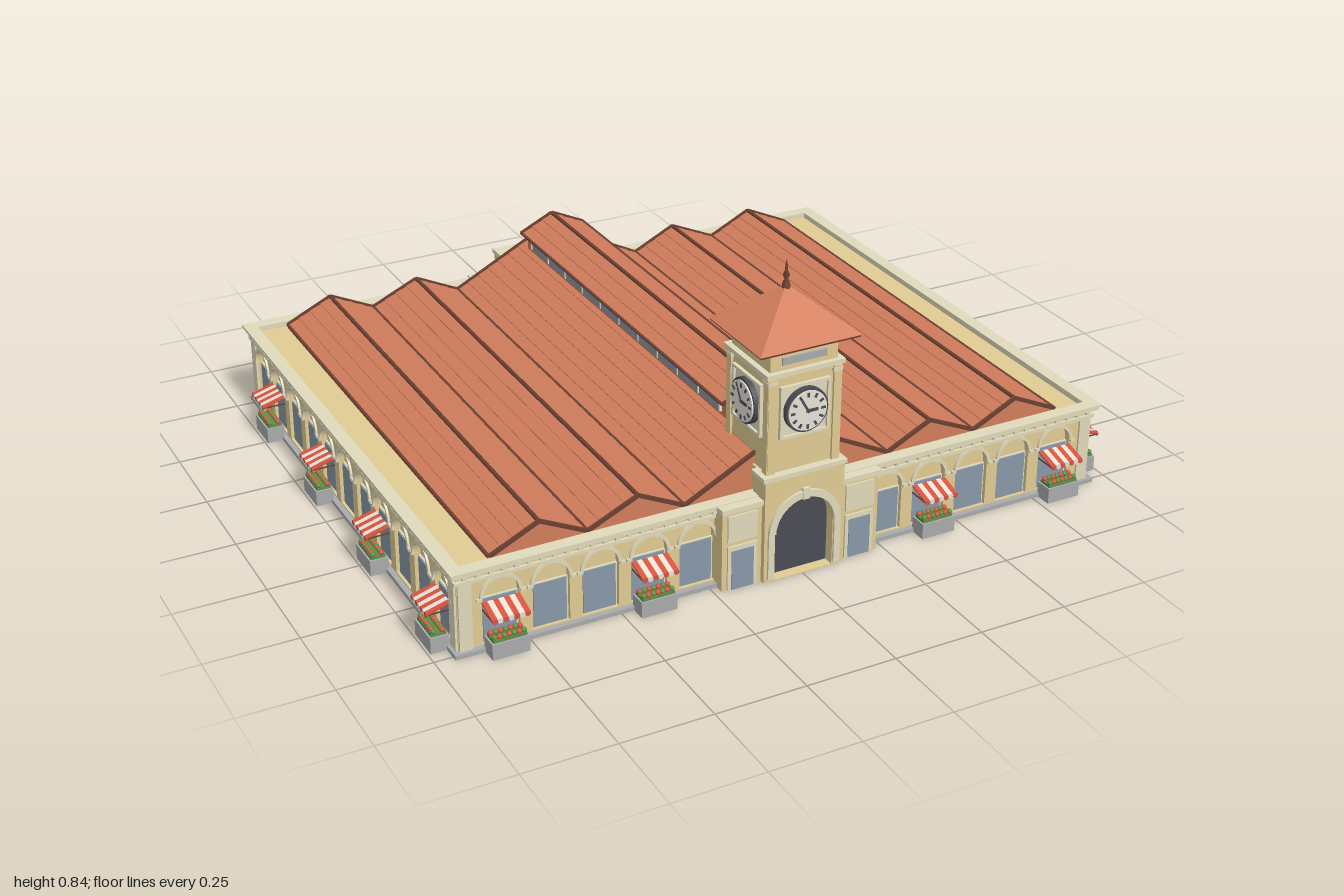
import * as THREE from 'three';

const M = {};
for (const [name, hex] of Object.entries({
  sandStone: 0xe0cb93, paleTrim: 0xe0d9bc, terracotta: 0xd27d5c, darkBrown: 0x6b4032, glass: 0x8798a7,
  slate: 0x4b4b56, awningRed: 0xd8533e, cream: 0xf1ebdf, leafGreen: 0x5f8f45, greyStone: 0xa8aaac,
})) {
  M[name] = new THREE.MeshStandardMaterial({ color: hex });
  M[name].name = name;
}

function add(parent, name, geo, mat, x = 0, y = 0, z = 0) {
  const m = new THREE.Mesh(geo, mat);
  m.name = name;
  m.position.set(x, y, z);
  parent.add(m);
  return m;
}
// Box standing on y, centred on x and z
const box = (p, name, mat, w, h, d, x, y, z) => add(p, name, new THREE.BoxGeometry(w, h, d), mat, x, y + h / 2, z);
const extrude = (shape, depth) => new THREE.ExtrudeGeometry(shape, { depth, bevelEnabled: false, curveSegments: 10 });

function group(parent, name, x = 0, y = 0, z = 0, turn = 0) {
  const g = new THREE.Group();
  g.name = name;
  g.position.set(x, y, z);
  g.rotation.y = turn;
  parent.add(g);
  return g;
}

function archPath(P, x, r, bottom, spring) {
  const p = new P();
  p.moveTo(x - r, bottom);
  p.lineTo(x + r, bottom);
  p.lineTo(x + r, spring);
  p.absarc(x, spring, r, 0, Math.PI, false);
  p.lineTo(x - r, bottom);
  return p;
}
function rect(w, y0, y1, P = THREE.Shape) {
  return new P([[-w, y0], [w, y0], [w, y1], [-w, y1]].map(a => new THREE.Vector2(...a)));
}
function archRing(r, R) {
  const s = new THREE.Shape();
  s.absarc(0, 0, R, 0, Math.PI, false);
  s.lineTo(-r, 0);
  s.absarc(0, 0, r, Math.PI, 0, true);
  s.lineTo(R, 0);
  return s;
}

// Striped awning over a planter of flowers
function stall(parent, x) {
  const g = group(parent, 'stall', x);
  box(g, 'planter', M.greyStone, 0.1, 0.044, 0.05, 0, 0, 0.033);
  box(g, 'plantBed', M.leafGreen, 0.09, 0.008, 0.04, 0, 0.044, 0.033);
  for (let i = 0; i < 7; i++) {
    const sx = (i - 3) * 0.0145, mat = i % 2 ? M.cream : M.awningRed;
    for (const z of [0.022, 0.046])
      add(g, 'flower', new THREE.IcosahedronGeometry(0.0075, 1), (i + (z > 0.03)) % 2 ? M.leafGreen : M.awningRed, sx * 0.9, 0.056, z);
    box(g, 'awningStripe', mat, 0.0145, 0.004, 0.065, sx, 0.121, 0.032).rotation.x = 0.28;
    const v = add(g, 'awningScallop', new THREE.CylinderGeometry(0.0073, 0.0073, 0.003, 10), mat, sx, 0.112, 0.0635);
    v.rotation.x = Math.PI / 2;
  }
  for (const s of [-1, 1]) box(g, 'awningRod', M.darkBrown, 0.003, 0.003, 0.062, s * 0.049, 0.111, 0.031);
}

// One arcaded wall, facing +z with its outer surface at z = 0
function facade(parent, name, length, bays, stalls, x, z, turn) {
  const g = group(parent, name, x, 0, z, turn);
  const wall = rect(length / 2, 0.01, 0.225);
  for (const b of bays) wall.holes.push(archPath(THREE.Path, b, 0.05, 0.016, 0.146));
  add(g, 'arcadeWall', extrude(wall, 0.018), M.sandStone, 0, 0, -0.018);
  const ring = extrude(archRing(0.048, 0.057), 0.006);
  for (const b of bays) {
    add(g, 'archMoulding', ring, M.paleTrim, b, 0.146, 0);
    box(g, 'windowFrame', M.paleTrim, 0.1, 0.124, 0.006, b, 0.014, -0.014);
    box(g, 'windowGlass', M.glass, 0.09, 0.12, 0.006, b, 0.016, -0.011);
    for (const s of [-1, 1]) box(g, 'impost', M.paleTrim, 0.014, 0.008, 0.008, b + s * 0.058, 0.139, 0.003);
  }
  for (const s of [-1, 1]) box(g, 'cornerPier', M.paleTrim, 0.035, 0.19, 0.006, s * (length / 2 - 0.019), 0.01, 0.003);
  for (let d = -length / 2 + 0.02; d < length / 2; d += 0.034)
    box(g, 'corniceBlock', M.paleTrim, 0.012, 0.012, 0.012, d, 0.213, 0.005);
  for (const s of stalls) stall(g, s);
}

// Projecting entrance with an arched portal and lower wings
function pavilion(parent, name, half, z, turn) {
  const g = group(parent, name, 0, 0, z, turn);
  const front = rect(half, 0, 0.293);
  front.holes.push(archPath(THREE.Path, 0, 0.086, 0.002, 0.14));
  add(g, 'portalWall', extrude(front, 0.062), M.sandStone, 0, 0, -0.012);
  add(g, 'portalDoor', extrude(archPath(THREE.Shape, 0, 0.088, 0.002, 0.14), 0.008), M.slate, 0, 0, 0.012);
  add(g, 'portalArch', extrude(archRing(0.086, 0.106), 0.008), M.paleTrim, 0, 0.14, 0.05);
  box(g, 'portalKeystone', M.paleTrim, 0.02, 0.032, 0.012, 0, 0.222, 0.053);
  box(g, 'portalCap', M.paleTrim, half * 2 + 0.012, 0.012, 0.066, 0, 0.293, 0.02);
  for (const s of [-1, 1]) {
    const w = 0.23 - half, cx = s * (half + w / 2);
    box(g, 'portalPier', M.paleTrim, 0.018, 0.13, 0.007, s * 0.097, 0.01, 0.0525);
    box(g, 'wing', M.sandStone, w, 0.225, 0.04, cx, 0, 0.015);
    box(g, 'wingCap', M.paleTrim, w + 0.008, 0.014, 0.06, cx, 0.225, 0.013);
    box(g, 'wingDoorFrame', M.paleTrim, w * 0.74, 0.125, 0.006, cx, 0.002, 0.037);
    box(g, 'wingDoor', M.glass, w * 0.56, 0.112, 0.008, cx, 0.002, 0.038);
    box(g, 'wingPanel', M.paleTrim, w * 0.74, 0.075, 0.006, cx, 0.14, 0.037);
  }
}

// Profile through stepped tile courses from each corner to the next
function tiledProfile(corners, floor) {
  const pts = [new THREE.Vector2(corners[0][0], floor)];
  for (let k = 0; k + 1 < corners.length; k++) {
    const [x0, y0] = corners[k], [x1, y1] = corners[k + 1];
    const n = Math.round(Math.abs(x1 - x0) / 0.034), up = y1 > y0;
    for (let i = 0; i < n; i++) {
      const a = i / n, b = (i + 1) / n;
      pts.push(new THREE.Vector2(x0 + (x1 - x0) * a, y0 + (y1 - y0) * a + (up ? 0.002 : 0)));
      pts.push(new THREE.Vector2(x0 + (x1 - x0) * b, y0 + (y1 - y0) * b + (up ? 0 : 0.002)));
    }
  }
  pts.push(new THREE.Vector2(corners[corners.length - 1][0], floor));
  return new THREE.Shape(pts.reverse());
}

function tiledRoof(parent, name, corners, floor, z0, z1) {
  const g = group(parent, name);
  const mid = (z0 + z1) / 2, len = z1 - z0;
  add(g, 'tiles', extrude(tiledProfile(corners, floor), len), M.terracotta, 0, 0, z0);
  corners.forEach(([x, y], i) => {
    const ridge = (corners[i - 1]?.[1] ?? 9) < y;
    if (ridge) {
      const c = add(g, 'ridgeCap', new THREE.CylinderGeometry(0.006, 0.006, len, 8), M.darkBrown, x, y, mid);
      c.rotation.x = Math.PI / 2;
    } else box(g, 'gutter', M.darkBrown, 0.008, 0.004, len, x, y, mid);
    if (!i) return;
    const [px, py] = corners[i - 1];
    for (const z of [z0, z1]) {
      const v = add(g, 'verge', new THREE.BoxGeometry(Math.hypot(x - px, y - py), 0.01, 0.008), M.darkBrown, (x + px) / 2, (y + py) / 2 + 0.001, z);
      v.rotation.z = Math.atan2(y - py, x - px);
    }
  });
}

function clockFace(parent, turn) {
  const g = group(parent, 'towerFace', 0, 0, 0, turn);
  const frame = rect(0.072, 0.398, 0.545);
  frame.holes.push(rect(0.064, 0.406, 0.537, THREE.Path));
  add(g, 'clockFrame', extrude(frame, 0.01), M.paleTrim, 0, 0, 0.1);
  box(g, 'clockPanel', M.paleTrim, 0.13, 0.133, 0.006, 0, 0.405, 0.1);
  const c = group(g, 'clock', 0, 0.472, 0.1);
  for (const [n, r, d, mat] of [['clockRim', 0.061, 0.018, M.slate], ['clockDial', 0.055, 0.022, M.cream]])
    add(c, n, new THREE.CylinderGeometry(r, r, d, 32), mat, 0, 0, d / 2).rotation.x = Math.PI / 2;
  const bar = (n, w, l, r0, a) => {
    const p = group(c, n, 0, 0, 0.023);
    p.rotation.z = -a;
    box(p, n + 'Bar', M.slate, w, l, 0.003, 0, r0, 0);
  };
  for (let i = 0; i < 12; i++) bar('hourMark', 0.006, 0.012, 0.038, i * Math.PI / 6);
  bar('minuteHand', 0.006, 0.042, -0.006, -Math.PI / 6);
  bar('hourHand', 0.008, 0.033, -0.005, Math.PI / 2);
  for (const s of [-1, 1]) {
    box(g, 'towerPilaster', M.sandStone, 0.022, 0.265, 0.008, s * 0.094, 0.305, 0.103);
    box(g, 'pilasterCap', M.paleTrim, 0.026, 0.01, 0.011, s * 0.093, 0.555, 0.103);
  }
}

export function createModel() {
  const model = new THREE.Group();
  model.name = 'marketHall';
  const zc = -0.005;

  // Base and solid core
  box(model, 'basePlate', M.greyStone, 1.9, 0.012, 1.545, 0, 0, zc);
  box(model, 'hallCore', M.sandStone, 1.836, 0.215, 1.48, 0, 0.01, zc);

  // Arcades with stalls
  const bays = [];
  for (let i = 0; i < 5; i++) bays.push(0.28 + i * 0.135, -0.28 - i * 0.135);
  const ends = [-0.82, -0.415, 0.415, 0.82];
  const side = Array.from({ length: 11 }, (_, i) => (i - 5) * 0.134);
  const sideStalls = [0.67, 0.268, -0.134, -0.536];
  facade(model, 'frontArcade', 1.87, bays, ends, 0, zc + 0.757, 0);
  facade(model, 'backArcade', 1.87, bays, ends, 0, zc - 0.757, Math.PI);
  facade(model, 'leftArcade', 1.51, side, sideStalls.map(v => -v), 0.935, zc, Math.PI / 2);
  facade(model, 'rightArcade', 1.51, side, sideStalls, -0.935, zc, -Math.PI / 2);

  // Cornice and parapet rings
  for (const [n, y, h, o] of [['stringCourse', 0.2, 0.009, 0.008], ['parapet', 0.224, 0.012, 0.016], ['parapetCap', 0.234, 0.007, 0.021]]) {
    const t = 0.016 + o;
    for (const s of [-1, 1]) {
      box(model, n, M.paleTrim, 1.87 + 2 * o, h, t, 0, y, zc + s * (0.757 + o - t / 2));
      box(model, n, M.paleTrim, t, h, 1.514 + 2 * o - 2 * t, s * (0.935 + o - t / 2), y, zc);
    }
  }

  pavilion(model, 'frontEntrance', 0.116, 0.757, 0);
  pavilion(model, 'backEntrance', 0.14, -0.763, Math.PI);

  // Tiled hall roofs
  const half = [[0.3, 0.235], [0.43, 0.298], [0.57, 0.235], [0.7, 0.298], [0.835, 0.235]];
  const corners = [...half.map(([x, y]) => [-x, y]).reverse(), [0, 0.387], ...half];
  tiledRoof(model, 'hallRoof', corners, 0.215, -0.73, 0.722);

  // Raised ridge with a strip of glazing
  box(model, 'monitorWall', M.terracotta, 0.17, 0.075, 1.23, 0, 0.32, -0.07);
  for (const s of [-1, 1]) {
    box(model, 'monitorGlass', M.glass, 0.006, 0.034, 1.165, s * 0.087, 0.357, -0.062);
    for (let i = 0; i <= 10; i++) box(model, 'monitorMullion', M.cream, 0.008, 0.034, 0.006, s * 0.088, 0.357, -0.645 + i * 0.1165);
  }
  tiledRoof(model, 'monitorRoof', [[-0.102, 0.393], [0, 0.441], [0.102, 0.393]], 0.389, -0.693, 0.555);

  // Clock tower
  const tower = group(model, 'clockTower', 0, 0, 0.688);
  box(tower, 'towerShaft', M.sandStone, 0.2, 0.36, 0.2, 0, 0.22, 0);
  box(tower, 'towerPlinth', M.sandStone, 0.214, 0.085, 0.212, 0, 0.22, 0);
  box(tower, 'towerBelt', M.paleTrim, 0.226, 0.012, 0.222, 0, 0.575, 0);
  box(tower, 'towerAttic', M.sandStone, 0.194, 0.06, 0.194, 0, 0.585, 0);
  box(tower, 'atticPanel', M.greyStone, 0.128, 0.02, 0.008, 0, 0.602, 0.097);
  box(tower, 'towerCornice', M.paleTrim, 0.215, 0.012, 0.215, 0, 0.636, 0);
  for (let i = 0; i < 4; i++) clockFace(tower, i * Math.PI / 2);

  // Tower roof in stepped tile courses, slightly shallower than wide
  const cap = group(tower, 'towerRoof');
  cap.scale.z = 0.91;
  box(cap, 'eavesBoard', M.darkBrown, 0.285, 0.009, 0.285, 0, 0.648, 0);
  const courses = 9;
  for (let i = 0; i < courses; i++) {
    const R = t => Math.SQRT2 * 0.14 * (1 - t) + 0.003;
    const c = new THREE.CylinderGeometry(R((i + 1) / courses), R(i / courses) + 0.007, 0.111 / courses, 4).toNonIndexed();
    c.rotateY(Math.PI / 4);
    c.computeVertexNormals();
    add(cap, 'towerTiles', c, M.terracotta, 0, 0.655 + (i + 0.5) * 0.111 / courses, 0);
  }
  const finial = [[0.012, 0.758], [0.009, 0.775], [0.004, 0.782], [0.009, 0.795], [0.004, 0.806], [0.003, 0.82], [0, 0.84]];
  add(tower, 'finial', new THREE.LatheGeometry(finial.map(p => new THREE.Vector2(...p)), 12), M.darkBrown);

  return model;
}
